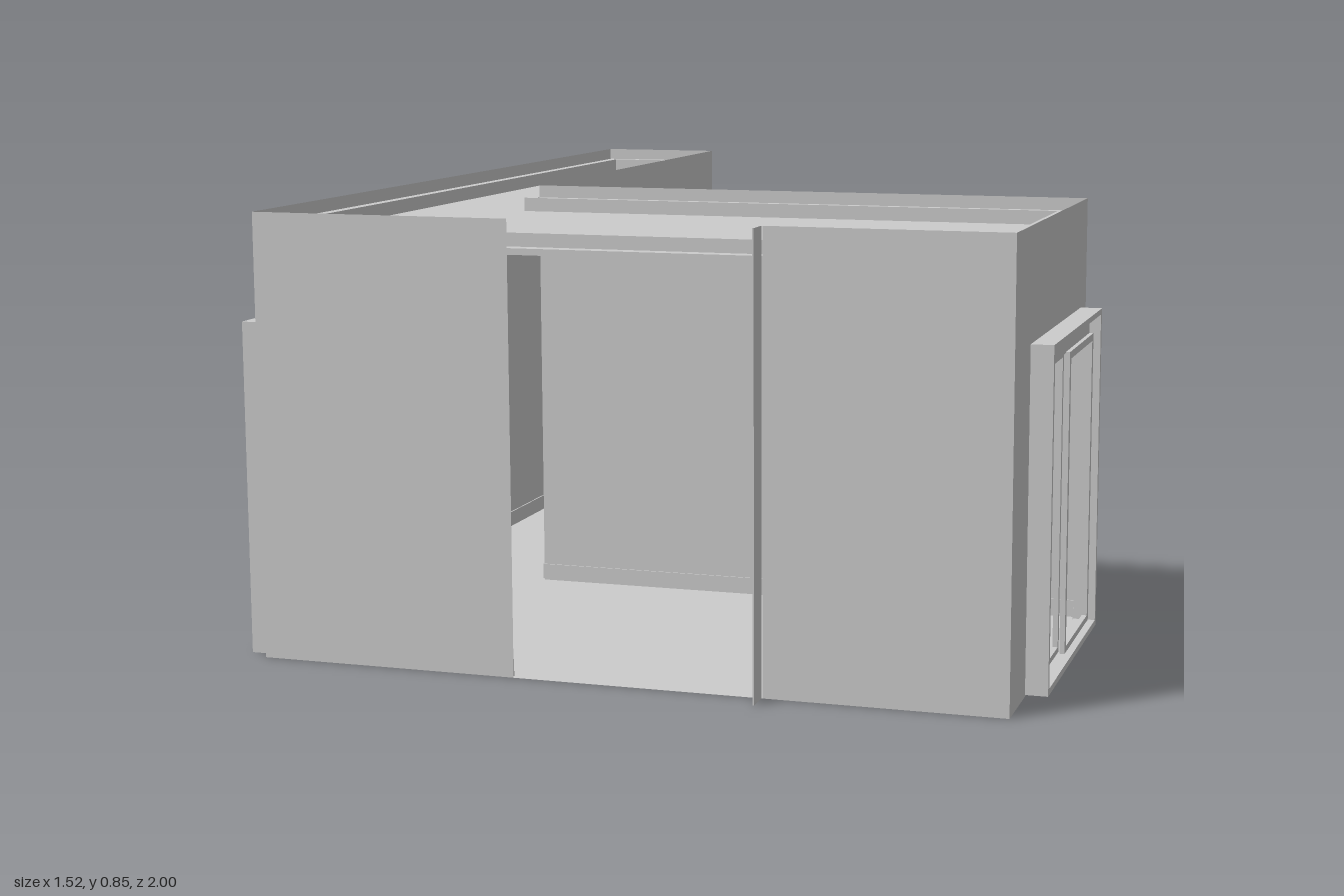
import * as THREE from 'three';

const H = 0.85;
const mat = new THREE.MeshStandardMaterial({ color: 0xcccccc, side: THREE.DoubleSide, flatShading: true });

// L-shaped plans as [x, z]: wall line and inner edge of the cornice
const plan = [[-0.718, -0.98], [-0.442, -0.98], [-0.442, 0.212], [0.718, 0.212], [0.718, 0.953], [-0.718, 0.953]];
const innerPlan = [[-0.695, -0.957], [-0.468, -0.957], [-0.468, 0.232], [0.662, 0.232], [0.662, 0.93], [-0.695, 0.93]];

function add(parent, name, geometry) {
  const mesh = new THREE.Mesh(geometry, mat);
  mesh.name = name;
  parent.add(mesh);
  return mesh;
}

// Box given by its two extreme corners
function box(parent, name, x0, x1, y0, y1, z0, z1) {
  const mesh = add(parent, name, new THREE.BoxGeometry(x1 - x0, y1 - y0, z1 - z0));
  mesh.position.set((x0 + x1) / 2, (y0 + y1) / 2, (z0 + z1) / 2);
}

// Flat horizontal sheet
function sheet(parent, name, points, y) {
  const shape = new THREE.Shape(points.map(([x, z]) => new THREE.Vector2(x, z)));
  add(parent, name, new THREE.ShapeGeometry(shape).rotateX(Math.PI / 2)).position.y = y;
}

// Thin wall from a to b with openings [start, end, height] along its length, and flat skirting between them
function wall(parent, name, a, b, openings = []) {
  const dx = b[0] - a[0], dz = b[1] - a[1], length = Math.hypot(dx, dz);
  const group = new THREE.Group();
  group.name = name;
  group.position.set(a[0], 0, a[1]);
  group.rotation.y = Math.atan2(-dz, dx);
  const shape = new THREE.Shape();
  shape.moveTo(0, 0);
  let from = 0;
  const skirting = (s, e) => box(group, 'skirting', s, e, 0.003, 0.035, 0, 0.003);
  for (const [s, e, h] of openings) {
    shape.lineTo(s, 0).lineTo(s, h).lineTo(e, h).lineTo(e, 0);
    skirting(from, s);
    from = e;
  }
  skirting(from, length);
  shape.lineTo(length, 0).lineTo(length, H).lineTo(0, H);
  add(group, 'wallPanel', new THREE.ShapeGeometry(shape));
  parent.add(group);
}

// Raised cornice strip running round the roof just inside the walls
function cornice(parent) {
  const profile = [[0, 0.785], [0, 0.797], [0.1, 0.8], [0.1, 0.825], [1, 0.825], [1, 0.797]];
  const n = plan.length, pos = [], index = [];
  profile.forEach(([t, y], r) => plan.forEach(([x, z], i) => {
    const [ix, iz] = innerPlan[i];
    pos.push(x + (ix - x) * t, y, z + (iz - z) * t);
    if (r === 0) return;
    const a = (r - 1) * n + i, b = (r - 1) * n + (i + 1) % n;
    index.push(a, b + n, b, a, a + n, b + n);
  }));
  const geometry = new THREE.BufferGeometry();
  geometry.setAttribute('position', new THREE.Float32BufferAttribute(pos, 3));
  geometry.setIndex(index);
  geometry.computeVertexNormals();
  add(parent, 'cornice', geometry);
}

// Frame in a wall facing along x: two jambs, head and sill
function frameX(parent, name, x0, x1, y0, y1, z0, z1, w, sill) {
  const group = new THREE.Group();
  group.name = name;
  box(group, 'jamb', x0, x1, y0, y1, z0, z0 + w);
  box(group, 'jamb', x0, x1, y0, y1, z1 - w, z1);
  box(group, 'head', x0, x1, y1 - w, y1, z0 + w, z1 - w);
  box(group, 'sill', x0, x1, y0, y0 + sill, z0 + w, z1 - w);
  parent.add(group);
}

export function createModel() {
  const model = new THREE.Group();
  model.name = 'lShapedRoom';

  // Floor, ceiling, roof and cornice
  sheet(model, 'floor', plan, 0);
  sheet(model, 'ceiling', plan, 0.785);
  sheet(model, 'roof', innerPlan, 0.797);
  cornice(model);

  // Walls, running round the plan with the room on the skirting side
  const [p0, p1, p2, p3, p4, p5] = plan;
  wall(model, 'wingEndWall', p0, p1, [[0.028, 0.24, 0.64]]);
  wall(model, 'wingInnerWall', p1, p2, [[0.033, 0.212, 0.64], [0.43, 0.642, 0.64]]);
  wall(model, 'backWall', p2, p3);
  wall(model, 'leftWall', p3, p4, [[0.07, 0.588, 0.63]]);
  wall(model, 'frontWall', p4, p5, [[0.449, 0.929, H]]);
  wall(model, 'rightWall', p5, p0, [[0.033, 0.258, 0.63]]);

  // Thin return panel beside the front opening
  box(model, 'frontReturnPanel', 0.264, 0.267, 0, H, 0.953, 1);

  // Floor thresholds projecting from the wing doorways
  sheet(model, 'wingDoorThreshold', [[-0.442, -0.55], [-0.425, -0.55], [-0.425, -0.338], [-0.442, -0.338]], 0);
  sheet(model, 'wingEndThreshold', [[-0.69, -1], [-0.478, -1], [-0.478, -0.98], [-0.69, -0.98]], 0);

  // Sliding door: deep outer frame, recessed header and two open sashes
  frameX(model, 'slidingDoorFrame', 0.717, 0.76, 0.003, 0.64, 0.272, 0.808, 0.011, 0.012);
  box(model, 'slidingDoorHeader', 0.717, 0.738, 0.59, 0.629, 0.283, 0.797);
  frameX(model, 'slidingSashFront', 0.722, 0.732, 0.015, 0.592, 0.54, 0.797, 0.011, 0.011);
  frameX(model, 'slidingSashBack', 0.736, 0.746, 0.015, 0.592, 0.283, 0.555, 0.014, 0.012);

  // Hinged door with a lever handle on both faces
  frameX(model, 'hingedDoorFrame', -0.76, -0.718, 0, 0.64, 0.688, 0.927, 0.012, 0.008);
  box(model, 'hingedDoorLeaf', -0.748, -0.738, 0.008, 0.628, 0.7, 0.915);
  for (const x of [-0.754, -0.732]) {
    box(model, 'doorHandleStem', x - 0.006, x + 0.006, 0.308, 0.336, 0.712, 0.717);
    box(model, 'doorHandleLever', x - 0.003, x + 0.003, 0.328, 0.334, 0.712, 0.745);
  }

  return model;
}
